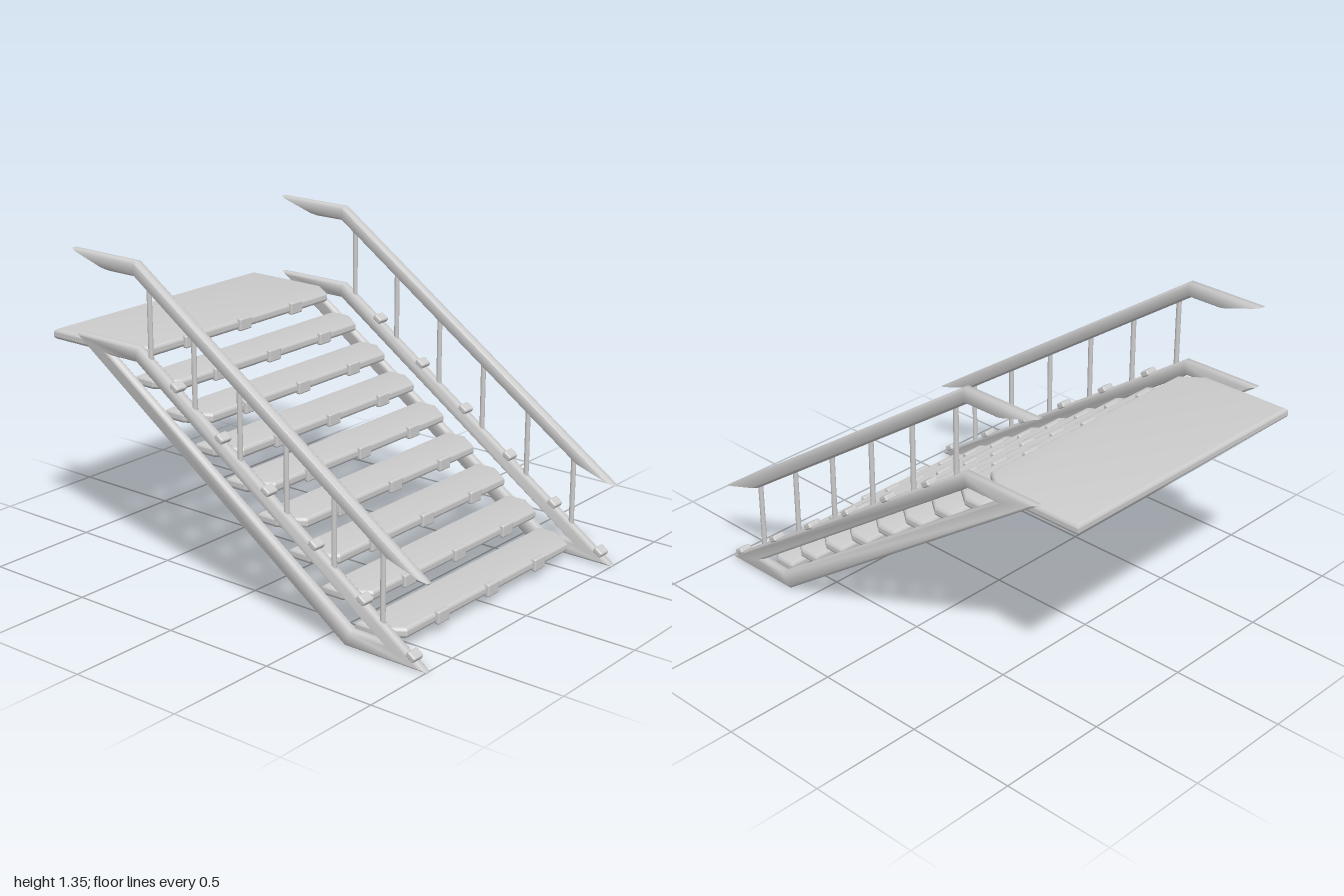
import * as THREE from 'three';
import { toCreasedNormals } from 'three/addons/utils/BufferGeometryUtils.js';
import { RoundedBoxGeometry } from 'three/addons/geometries/RoundedBoxGeometry.js';

const material = new THREE.MeshStandardMaterial({ color: 0xcccccc });
const SIDE_X = 0.656;
const HALF_THICK = 0.023;

// Chamfered bar section: u runs from inner to outer edge, v across the thickness
const SECTION = [[1, -0.5], [1, 0.5], [0.7, 1], [-0.7, 1], [-1, 0.5], [-1, -0.5], [-0.7, -1], [0.7, -1]];

// Mitred bar: each station is [outerZ, outerY, innerZ, innerY]
function barGeometry(stations, closed) {
  const n = SECTION.length, m = stations.length, positions = [], index = [];
  for (const [oz, oy, iz, iy] of stations) {
    for (const [u, v] of SECTION) {
      const t = (1 + u) / 2;
      positions.push(v * HALF_THICK, iy + (oy - iy) * t, iz + (oz - iz) * t);
    }
  }
  for (let i = 0; i < (closed ? m : m - 1); i++) {
    for (let j = 0; j < n; j++) {
      const k = (j + 1) % n, next = ((i + 1) % m) * n;
      const a = i * n + j, b = next + j, c = i * n + k, d = next + k;
      index.push(a, b, c, c, b, d);
    }
  }
  if (!closed) {
    const e = (m - 1) * n;
    for (let j = 1; j < n - 1; j++) index.push(0, j, j + 1, e, e + j + 1, e + j);
  }
  const geometry = new THREE.BufferGeometry();
  geometry.setAttribute('position', new THREE.Float32BufferAttribute(positions, 3));
  geometry.setIndex(index);
  return toCreasedNormals(geometry, 0.9);
}

// Flat board with cut front corners and softly rounded edges
function boardGeometry(front, back) {
  const w = 0.635, bevel = 0.016, thickness = 0.045;
  const shape = new THREE.Shape();
  shape.moveTo(-w, -back);
  shape.lineTo(-w, -front + 0.1);
  shape.lineTo(-w + 0.075, -front);
  shape.lineTo(w - 0.075, -front);
  shape.lineTo(w, -front + 0.1);
  shape.lineTo(w, -back);
  shape.closePath();
  const geometry = new THREE.ExtrudeGeometry(shape, {
    depth: thickness - 2 * bevel, bevelThickness: bevel, bevelSize: bevel,
    bevelOffset: -bevel, bevelSegments: 4,
  });
  geometry.rotateX(-Math.PI / 2);
  geometry.translate(0, bevel - thickness / 2, 0);
  return toCreasedNormals(geometry, 0.6);
}

function add(parent, name, geometry, x = 0, y = 0, z = 0) {
  const mesh = new THREE.Mesh(geometry, material);
  mesh.name = name;
  mesh.position.set(x, y, z);
  parent.add(mesh);
  return mesh;
}

export function createModel() {
  const model = new THREE.Group();
  model.name = 'staircase';

  // Steps, the last one being the deep landing, each with three nose clips
  const clipGeometry = new RoundedBoxGeometry(0.076, 0.055, 0.025, 3, 0.008);
  for (let i = 0; i < 9; i++) {
    const step = new THREE.Group();
    const landing = i === 8;
    const y = 0.072 + i * 0.109, front = 0.83 - i * 0.165;
    step.name = landing ? 'landing' : 'step';
    add(step, landing ? 'landingBoard' : 'tread', boardGeometry(front, landing ? -1 : front - 0.195), 0, y);
    for (const x of [-0.337, 0, 0.337]) add(step, 'noseClip', clipGeometry, x, y, front);
    model.add(step);
  }

  // Side frames, handrails, balusters and frame clips
  const frameGeometry = barGeometry([
    [1, 0, 0.785, 0.07], [0.61, 0, 0.645, 0.07],
    [-0.83, 0.995, -0.62, 0.93], [-0.46, 0.995, -0.475, 0.93],
  ], true);
  const railGeometry = barGeometry([
    [-0.83, 1.35, -0.62, 1.287], [-0.46, 1.35, -0.475, 1.287], [1, 0.36, 0.785, 0.43],
  ], false);
  const slope = 0.995 / 1.46;
  const balusterGeometry = new THREE.CylinderGeometry(0.011, 0.011, 0.36, 12);
  const frameClipGeometry = new RoundedBoxGeometry(0.06, 0.026, 0.044, 3, 0.008);
  for (const side of [-1, 1]) {
    const group = new THREE.Group();
    group.name = side > 0 ? 'leftSide' : 'rightSide';
    group.position.x = side * SIDE_X;
    add(group, 'sideFrame', frameGeometry);
    add(group, 'handrail', railGeometry);
    for (let i = 0; i < 6; i++) {
      const z = 0.785 - i * 0.238;
      add(group, 'baluster', balusterGeometry, 0, (1 - z) * slope + 0.15, z);
      const clipZ = 0.937 - i * 0.239;
      const clip = add(group, 'frameClip', frameClipGeometry, 0, (1 - clipZ) * slope + 0.008, clipZ);
      clip.rotation.x = Math.atan(slope);
    }
    model.add(group);
  }
  return model;
}
